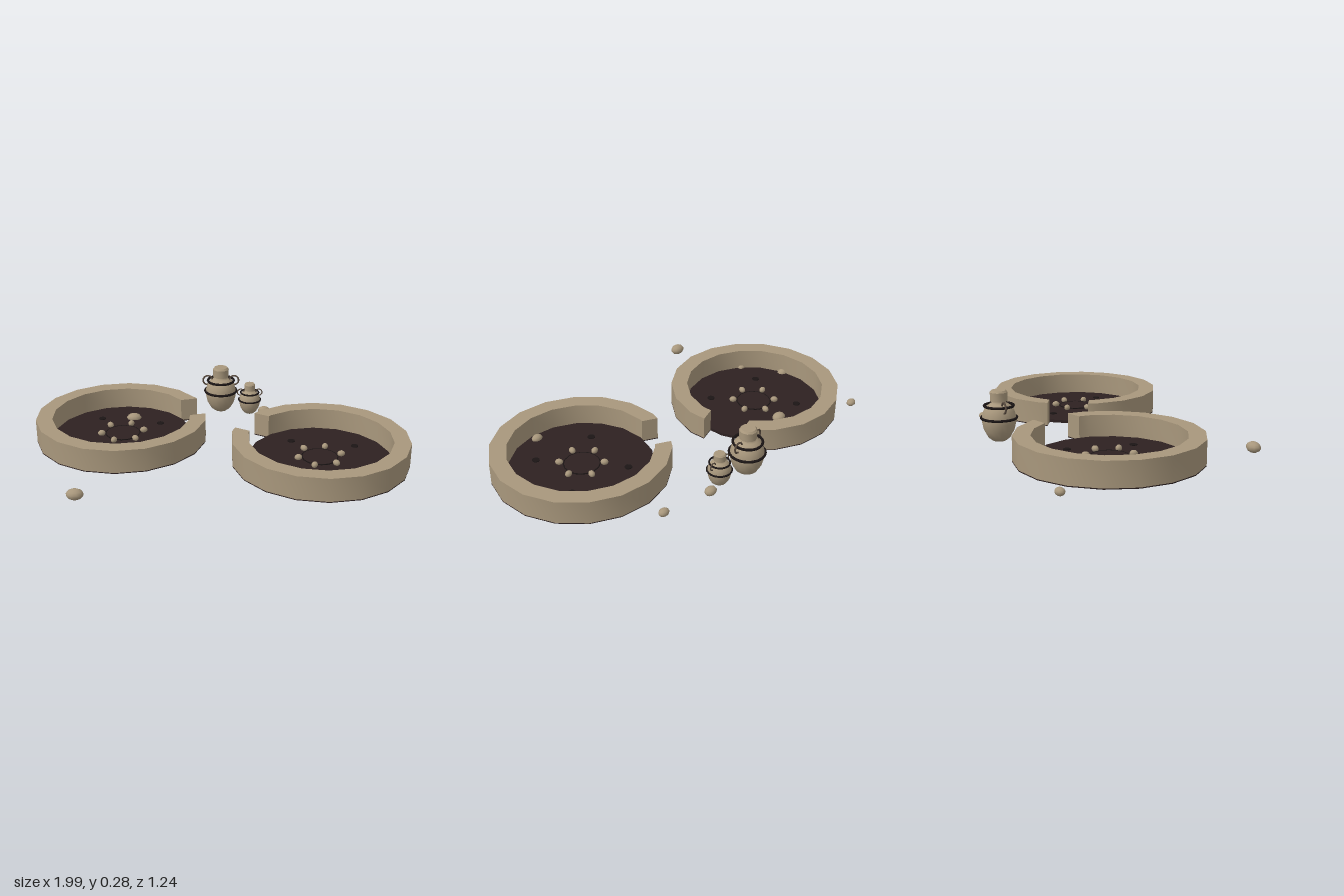
import * as THREE from 'three';
import { toCreasedNormals } from 'three/addons/utils/BufferGeometryUtils.js';

const paint = (name, color) => {
  const m = new THREE.MeshStandardMaterial({ color });
  m.name = name;
  return m;
};

export function createModel() {
  const stoneMat = paint('sandstone', 0xa8977c);
  const floorMat = paint('dark earth', 0x2d2121);
  const bandMat = paint('black band', 0x1b1515);
  const handleMat = paint('handle brown', 0x5a4c40);
  const model = new THREE.Group();
  model.name = 'roundHouseRuins';

  const add = (parent, name, geo, mat, x = 0, y = 0, z = 0) => {
    const m = new THREE.Mesh(geo, mat);
    m.name = name;
    m.position.set(x, y, z);
    parent.add(m);
    return m;
  };

  const R = 0.468, INNER = 0.38, SIDES = 18, DOOR = 0.111;
  const step = (2 * Math.PI) / SIDES;

  // Distance to the edge of an 18-sided outline at a given angle
  const reach = (r, a) => (r * Math.cos(step / 2)) / Math.cos(a - step * Math.round(a / step));

  // Outline points from one door jamb round to the other
  function arc(r, door) {
    let a0 = door, a1 = door;
    for (let i = 0; i < 8; i++) {
      a0 = door + Math.asin(DOOR / reach(r, a0));
      a1 = door - Math.asin(DOOR / reach(r, a1));
    }
    a1 += 2 * Math.PI;
    const angles = [a0];
    for (let k = Math.ceil(a0 / step - 0.5); (k + 0.5) * step < a1; k++) {
      const a = (k + 0.5) * step;
      if (a > a0 + 0.01 && a < a1 - 0.01) angles.push(a);
    }
    angles.push(a1);
    return angles.map(a => new THREE.Vector2(Math.cos(a), Math.sin(a)).multiplyScalar(reach(r, a)));
  }

  // Ring with a straight-sided doorway, extruded upwards
  function ring(door, height) {
    const shape = new THREE.Shape([...arc(R, door), ...arc(INNER, door).reverse()]);
    const geo = new THREE.ExtrudeGeometry(shape, { depth: height, bevelEnabled: false });
    geo.rotateX(-Math.PI / 2);
    return toCreasedNormals(geo, 0.6);
  }

  const pebble = new THREE.SphereGeometry(1, 10, 7);
  function stone(parent, name, x, y, z, r, flat = 0.65) {
    const m = add(parent, name, pebble, stoneMat, x, y, z);
    m.scale.set(r, r * flat, r * 0.78);
    return m;
  }

  // Round house: wall, floor, hearth and post holes
  function house(name, x, z, doorDegrees) {
    const g = new THREE.Group();
    g.name = name;
    g.position.set(x, 0, z);
    const door = THREE.MathUtils.degToRad(doorDegrees);
    add(g, 'wall', ring(door, 0.125), stoneMat, 0, 0.02, 0);
    add(g, 'wallFooting', ring(door, 0.005), floorMat, 0, 0.015, 0);
    add(g, 'floor', new THREE.CylinderGeometry(INNER, INNER, 0.015, SIDES), floorMat, 0, 0.0225, 0);
    add(g, 'hearthPit', new THREE.CylinderGeometry(0.095, 0.095, 0.006, 16), floorMat, 0, 0.032, 0);
    const rim = add(g, 'hearthRim', new THREE.TorusGeometry(0.095, 0.003, 5, 16), bandMat, 0, 0.034, 0);
    rim.rotation.x = Math.PI / 2;
    for (let i = 0; i < 6; i++) {
      const a = THREE.MathUtils.degToRad(49 + i * 60);
      const s = stone(g, 'hearthStone', Math.cos(a) * 0.117, 0.042, Math.sin(a) * 0.117, 0.021, 0.8);
      s.rotation.y = -a;
    }
    for (let i = 0; i < 4; i++) {
      const a = THREE.MathUtils.degToRad(56 + i * 90);
      add(g, 'postHole', new THREE.CylinderGeometry(0.02, 0.02, 0.006, 10), bandMat,
        Math.cos(a) * 0.243, 0.031, Math.sin(a) * 0.243);
    }
    model.add(g);
  }
  house('rearHouse', -0.533, -0.155, 15.5);
  house('frontHouse', 0.532, 0.15, 150);

  // Lidded jar with two dark bands and ring handles
  function jar(name, x, z, s) {
    const g = new THREE.Group();
    g.name = name;
    g.position.set(x, 0.017, z);
    g.scale.setScalar(s);
    const profile = [[0, 0], [0.035, 0.004], [0.058, 0.022], [0.078, 0.058], [0.088, 0.1], [0.088, 0.13],
      [0.08, 0.16], [0.066, 0.184], [0.045, 0.198], [0.036, 0.204], [0.036, 0.215]]
      .map(p => new THREE.Vector2(...p));
    add(g, 'jarBody', new THREE.LatheGeometry(profile, 18), stoneMat);
    const lid = [[0, 0.212], [0.045, 0.212], [0.046, 0.258], [0.038, 0.268], [0, 0.268]]
      .map(p => new THREE.Vector2(...p));
    add(g, 'jarLid', toCreasedNormals(new THREE.LatheGeometry(lid, 12), 0.6), stoneMat);
    for (const [r, y] of [[0.092, 0.124], [0.076, 0.187]]) {
      const band = add(g, 'jarBand', new THREE.TorusGeometry(r, 0.007, 6, 20), bandMat, 0, y, 0);
      band.rotation.x = Math.PI / 2;
    }
    for (const side of [-1, 1])
      add(g, 'jarHandle', new THREE.TorusGeometry(0.028, 0.005, 6, 14), handleMat, side * 0.076, 0.188, 0);
    model.add(g);
  }
  jar('largeJar', 0.013, -0.518, 1);
  jar('smallJar', 0.181, -0.474, 0.69);

  // Loose stones: x, y, z, radius
  [[-0.487, 0.033, -0.364, 0.042], [-0.91, 0.026, -0.09, 0.036], [-0.79, 0.03, 0.128, 0.024],
    [0.532, 0.034, 0.493, 0.032], [-0.898, 0.022, -0.576, 0.03], [-0.7, 0.033, 0.562, 0.044],
    [0.267, 0.026, -0.49, 0.036], [0.543, 0.025, -0.424, 0.031]]
    .forEach(s => stone(model, 'looseStone', ...s));

  return model;
}
